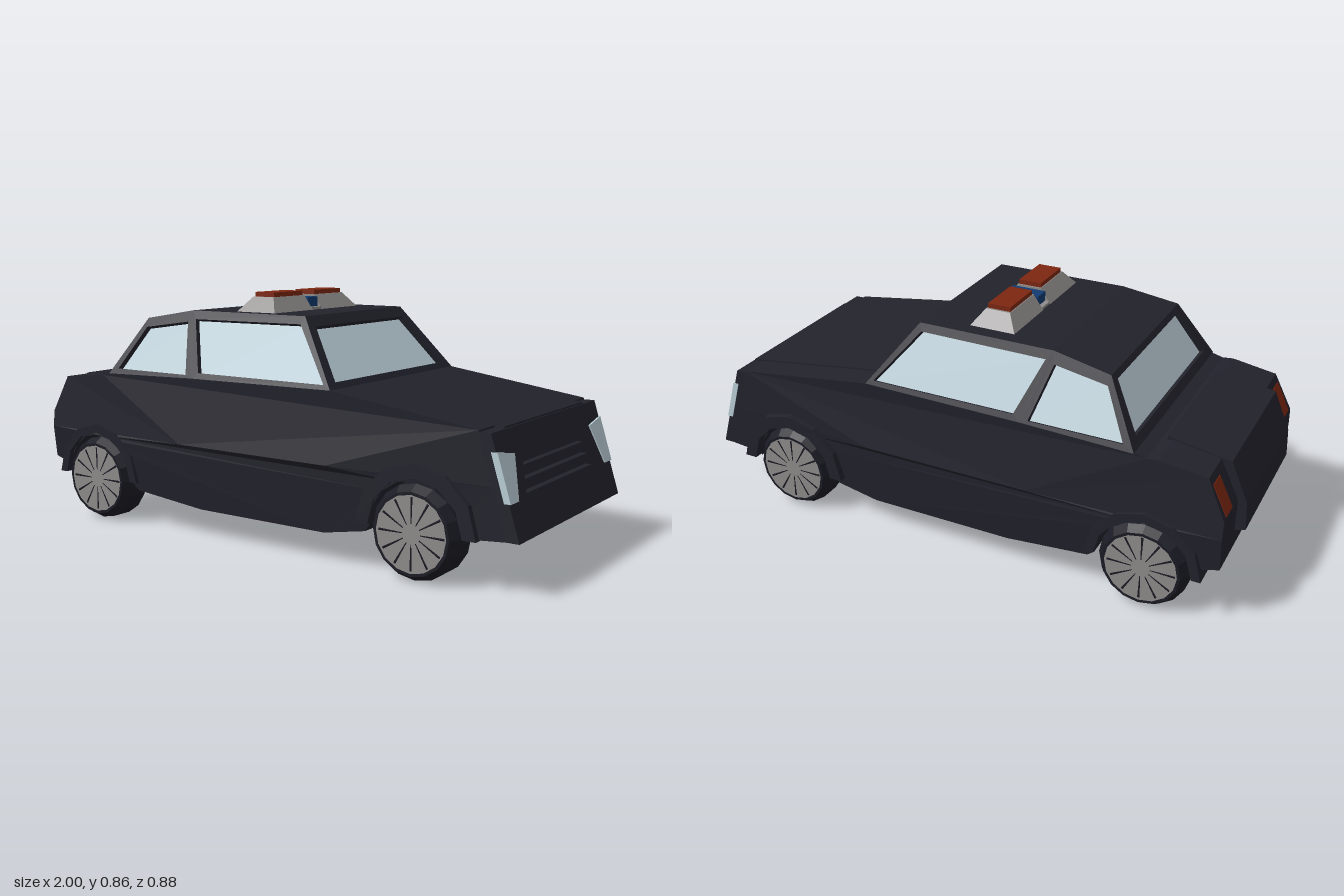
import * as THREE from 'three';

const mat = (name, color, opts = {}) => {
  const m = new THREE.MeshStandardMaterial({ color, ...opts });
  m.name = name;
  return m;
};

export function createModel() {
  const paint = mat('dark paint', 0x22222c);
  const rubber = mat('tyre rubber', 0x1b1b25);
  const glass = mat('pale glass', 0xbccfd8);
  const grey = mat('grey metal', 0x8f8b8b);
  const red = mat('red lens', 0x7d2611);
  const blue = mat('blue lens', 0x123a70);
  const car = new THREE.Group();
  car.name = 'car';

  const add = (name, geo, material, parent = car) => {
    const mesh = new THREE.Mesh(geo, material);
    mesh.name = name;
    parent.add(mesh);
    return mesh;
  };
  const toShape = pts => new THREE.Shape(pts.map(p => new THREE.Vector2(p[0], p[1])));
  // Extrude a shape by one unit, then move each vertex by a rule
  const solid = (pts, rule, hole) => {
    const shape = toShape(pts);
    if (hole) shape.holes.push(toShape(hole));
    const geo = new THREE.ExtrudeGeometry(shape, { depth: 1, bevelEnabled: false });
    const p = geo.attributes.position;
    for (let i = 0; i < p.count; i++) p.setXYZ(i, ...rule(p.getX(i), p.getY(i), p.getZ(i)));
    geo.computeVertexNormals();
    return geo;
  };
  const prism = (pts, z0, z1) => solid(pts, (x, y, t) => [x, y, z0 + (z1 - z0) * t]);
  const arc = (cx, cy, r, a0, a1, n) => Array.from({ length: n + 1 }, (_, i) => {
    const a = a0 + (a1 - a0) * i / n;
    return [cx + r * Math.cos(a), cy + r * Math.sin(a)];
  });

  // Body shell: half width depends on height, tapering to nose and tail
  const halfWidth = (x, y) => {
    const w = y < 0.33 ? 0.41 + (y - 0.1) / 0.23 * 0.025 : 0.435 - (y - 0.33) / 0.24 * 0.03;
    const t = x > 0.33 ? Math.min(1, (x - 0.33) / 0.55) : 0;
    const rear = x < -0.6 ? (-0.6 - x) * 0.04 : 0;
    return w + (0.4 - w) * t - rear;
  };
  const shell = pts => solid(pts, (x, y, t) => [x, y, (2 * t - 1) * halfWidth(x, y)]);
  const AXLES = { front: 0.655, rear: -0.715 };
  add('lowerBody', shell([
    [-0.965, 0.33], [-0.965, 0.21], [-0.9, 0.19],
    ...arc(AXLES.rear, 0.15, 0.17, Math.PI, 0, 8),
    [-0.52, 0.13], [-0.22, 0.1], [0.31, 0.1], [0.47, 0.13],
    ...arc(AXLES.front, 0.15, 0.17, Math.PI, 0, 8),
    [0.84, 0.16], [0.96, 0.17], [0.91, 0.33], [0.33, 0.33], [-0.3, 0.33],
  ]), paint);
  add('upperBody', shell([
    [-0.965, 0.33], [-0.3, 0.33], [0.33, 0.33], [0.91, 0.33], [0.86, 0.496], [0.33, 0.57],
    [-0.66, 0.555], [-0.7, 0.545], [-0.74, 0.55], [-0.9, 0.525], [-0.965, 0.39],
  ]), paint);
  add('wheelWells', prism([[-0.93, 0.2], [-0.88, 0.14], [0.86, 0.14], [0.93, 0.19], [0.9, 0.32], [-0.93, 0.32]],
    -0.3, 0.3), paint);
  add('hood', prism([[0.345, 0.555], [0.895, 0.478], [0.895, 0.496], [0.345, 0.572]], -0.3, 0.3), paint);
  add('trunk', prism([[-1, 0.285], [-0.95, 0.27], [-0.72, 0.5], [-0.72, 0.56], [-0.935, 0.523], [-0.995, 0.385]],
    -0.265, 0.265), paint);

  // Sloping nose: plates drawn in (z, y) and leaned along the front face
  const nosePlate = (pts, d0, d1, hole) => solid(pts.map(p => [-p[0], p[1]]),
    (u, y, t) => [0.9 + (0.49 - y) * 0.3125 + d0 + (d1 - d0) * t, y, -u],
    hole && hole.map(p => [-p[0], p[1]]));
  add('nose', nosePlate([[-0.4, 0.17], [0.4, 0.17], [0.4, 0.49], [-0.4, 0.49]], -0.045, 0,
    [[-0.29, 0.245], [0.29, 0.245], [0.245, 0.39], [-0.245, 0.39]]), paint);
  for (const y of [0.275, 0.315, 0.355]) {
    const w = 0.29 - (y - 0.245) * 0.31;
    add('grilleSlat', nosePlate([[-w, y - 0.012], [w, y - 0.012], [w, y + 0.012], [-w, y + 0.012]],
      -0.05, -0.018), paint);
  }
  for (const s of [1, -1]) {
    add('headlight', nosePlate([[0.402, 0.435], [0.295, 0.418], [0.345, 0.285], [0.402, 0.285]]
      .map(p => [p[0] * s, p[1]]), -0.016, 0.006), glass);
    add('tailLight', prism([[-0.962, 0.385], [-0.912, 0.489], [-0.907, 0.486], [-0.957, 0.382]]
      .map(p => [p[0] - 0.002, p[1] + 0.012]), s * 0.355 - 0.033, s * 0.355 + 0.033), red);
  }

  // Cabin: framed openings with recessed glass
  const quads = list => {
    const pos = list.flatMap(([a, b, c, d]) => [a, b, c, a, c, d].flatMap(v => v.toArray()));
    const geo = new THREE.BufferGeometry();
    geo.setAttribute('position', new THREE.Float32BufferAttribute(pos, 3));
    geo.computeVertexNormals();
    return geo;
  };
  const V = pts => pts.map(p => new THREE.Vector3(...p));
  const windowPanel = (name, outerPts, innerPts, depth = 0.02) => {
    const o = V(outerPts), i = V(innerPts);
    const n = o[1].clone().sub(o[0]).cross(o[3].clone().sub(o[0])).normalize();
    const r = i.map(p => p.clone().addScaledVector(n, -depth));
    const frame = [];
    for (let k = 0; k < 4; k++) {
      const j = (k + 1) % 4;
      frame.push([o[k], o[j], i[j], i[k]], [i[k], i[j], r[j], r[k]]);
    }
    add(name + 'Frame', quads(frame), paint);
    add(name + 'Glass', quads([r]), glass);
  };
  const cabinW = y => 0.405 - (y - 0.57) / 0.225 * 0.1;
  const sideWindow = (name, outer, inner) => {
    for (const s of [1, -1]) {
      const place = pts => {
        const q = pts.map(([x, y]) => [x, y, s * cabinW(y)]);
        return s > 0 ? q : q.reverse();
      };
      windowPanel(name, place(outer), place(inner));
    }
  };
  sideWindow('frontDoorWindow',
    [[-0.26, 0.565], [0.33, 0.57], [0.16, 0.795], [-0.335, 0.795]],
    [[-0.235, 0.585], [0.3, 0.585], [0.15, 0.768], [-0.312, 0.765]]);
  sideWindow('rearSideWindow',
    [[-0.66, 0.555], [-0.26, 0.565], [-0.335, 0.795], [-0.54, 0.76]],
    [[-0.62, 0.575], [-0.29, 0.575], [-0.345, 0.755], [-0.535, 0.728]]);
  // End window corners from bottom and top rows of [x, y, half width]
  const endRow = (s, b, t) => [[b[0], b[1], s * b[2]], [b[0], b[1], -s * b[2]],
    [t[0], t[1], -s * t[2]], [t[0], t[1], s * t[2]]];
  windowPanel('windshield',
    endRow(1, [0.33, 0.57, 0.405], [0.16, 0.795, 0.305]),
    endRow(1, [0.315, 0.59, 0.352], [0.186, 0.76, 0.28]));
  windowPanel('rearWindow',
    endRow(-1, [-0.66, 0.555, cabinW(0.555)], [-0.54, 0.76, cabinW(0.76)]),
    endRow(-1, [-0.643, 0.584, 0.35], [-0.552, 0.74, 0.295]));
  const rw = cabinW(0.76);
  add('roof', quads([
    V([[-0.335, 0.795, 0.305], [0.16, 0.795, 0.305], [0.16, 0.795, -0.305], [-0.335, 0.795, -0.305]]),
    V([[-0.54, 0.76, rw], [-0.335, 0.795, 0.305], [-0.335, 0.795, -0.305], [-0.54, 0.76, -rw]]),
  ]), paint);

  // Wheels and arch flares; wheel axis along z, outer face towards +z
  const tyreProfile = [[0.125, -0.062], [0.14, -0.062], [0.155, -0.045], [0.155, 0.03], [0.135, 0.062], [0.125, 0.062]]
    .map(p => new THREE.Vector2(p[0], p[1]));
  const tyreMat = mat('tyre rubber', 0x1b1b25, { flatShading: true });
  const tyreGeo = new THREE.LatheGeometry(tyreProfile, 16).rotateX(Math.PI / 2);
  const hubGeo = new THREE.CylinderGeometry(0.13, 0.13, 0.116, 16).rotateX(Math.PI / 2);
  const gapGeo = new THREE.CylinderGeometry(0.004, 0.0015, 0.085, 4).translate(0, 0.075, 0).scale(1, 1, 0.5);
  for (const [end, x] of Object.entries(AXLES)) {
    for (const s of [1, -1]) {
      const wheel = new THREE.Group();
      wheel.name = end + 'Wheel';
      wheel.position.set(x, 0.155, s * 0.378);
      if (s < 0) wheel.rotation.y = Math.PI;
      car.add(wheel);
      add('tyre', tyreGeo, tyreMat, wheel);
      add('hub', hubGeo, grey, wheel);
      for (let k = 0; k < 12; k++) {
        const gap = add('spokeGap', gapGeo, rubber, wheel);
        gap.position.z = 0.058;
        gap.rotation.z = k * Math.PI / 6;
      }
      const outer = end === 'rear' ? 0.2 : 0.215;
      const z = end === 'front' && s < 0 ? 0.44 : end === 'front' ? 0.424 : 0.434;
      add(end + 'ArchFlare', prism([
        ...arc(x, 0.16, outer, 0, Math.PI, 6), ...arc(x, 0.16, 0.168, Math.PI, 0, 6),
      ], Math.min(s * 0.35, s * z), Math.max(s * 0.35, s * z)), paint);
    }
  }

  // Roof light bar
  const bar = new THREE.Group();
  bar.name = 'lightBar';
  bar.position.set(-0.084, 0, 0.006);
  car.add(bar);
  for (const s of [1, -1]) {
    const base = new THREE.BoxGeometry(0.18, 0.062, 0.235);
    const p = base.attributes.position;
    for (let i = 0; i < p.count; i++) {
      if (p.getY(i) < 0) continue;
      p.setX(i, p.getX(i) * 0.5);
      if (p.getZ(i) * s > 0) p.setZ(i, s * 0.065);
    }
    const flat = base.toNonIndexed();
    flat.computeVertexNormals();
    add('lightBase', flat, grey, bar).position.set(0, 0.816, s * 0.147);
    add('redLight', new THREE.BoxGeometry(0.084, 0.02, 0.168), red, bar).position.set(0, 0.853, s * 0.12);
  }
  add('blueLight', new THREE.BoxGeometry(0.125, 0.036, 0.06), blue, bar).position.set(0, 0.822, 0);
  add('blueLightFoot', new THREE.BoxGeometry(0.16, 0.014, 0.06), grey, bar).position.set(0, 0.798, 0);

  return car;
}
